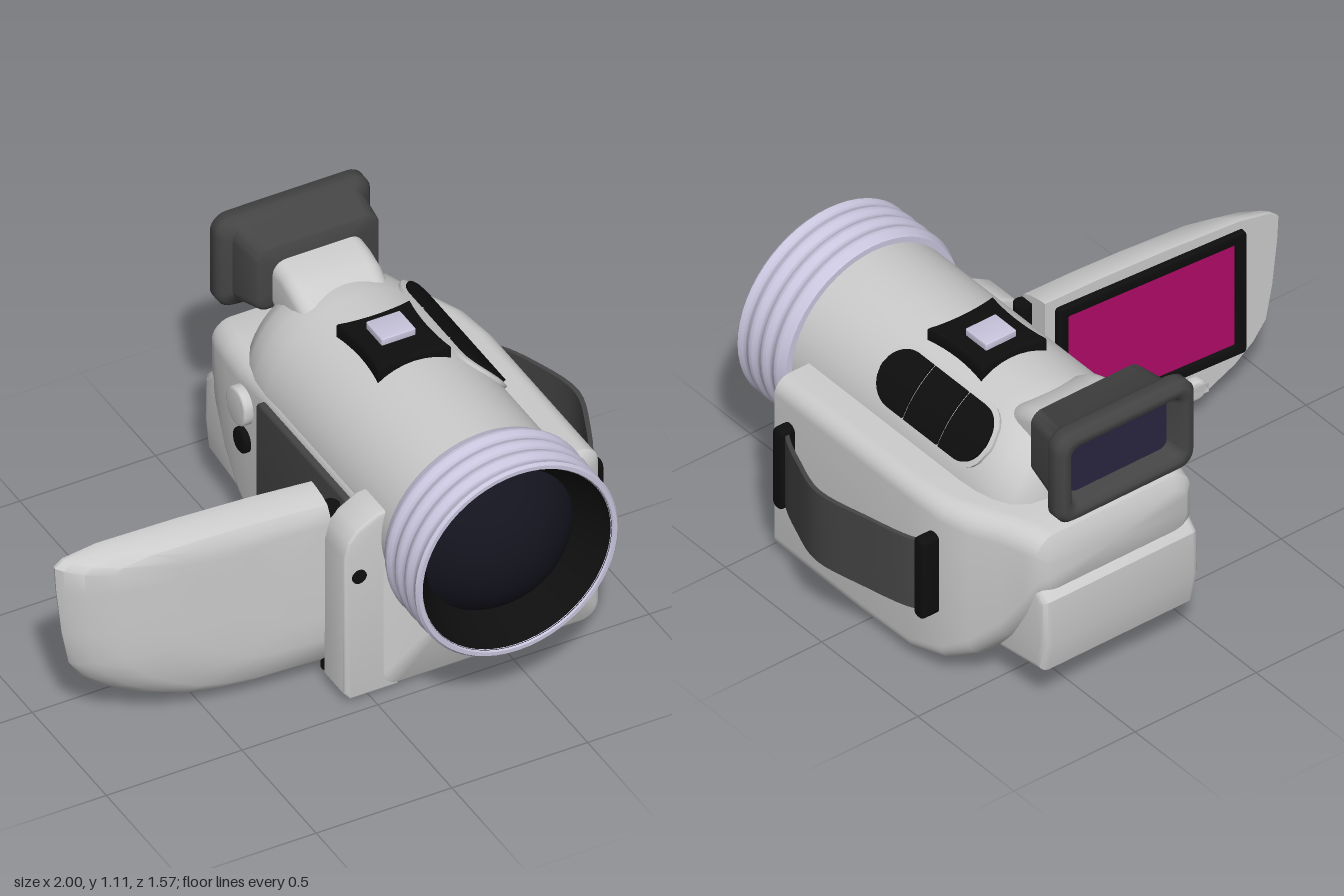
import * as THREE from 'three';
import { toCreasedNormals } from 'three/addons/utils/BufferGeometryUtils.js';

const GREY = 0xcccccc, LILAC = 0xc8c4dc, BLACK = 0x0e0e0e, DARK = 0x444444, GLASS = 0x14141f;
const CX = 0.37, CY = 0.64, R = 0.335; // lens barrel axis and radius

function mesh(parent, name, geo, color, x = 0, y = 0, z = 0) {
  const m = new THREE.Mesh(geo, new THREE.MeshStandardMaterial({ color, side: THREE.DoubleSide }));
  m.name = name;
  m.position.set(x, y, z);
  parent.add(m);
  return m;
}

// Counter-clockwise outline of a rounded rectangle
function roundRect(x0, x1, y0, y1, r, n = 6) {
  const pts = [];
  const corners = [[x1 - r, y1 - r], [x0 + r, y1 - r], [x0 + r, y0 + r], [x1 - r, y0 + r]];
  corners.forEach(([x, y], k) => {
    for (let i = 0; i <= n; i++) {
      const a = (k + i / n) * Math.PI / 2;
      pts.push(new THREE.Vector2(x + r * Math.cos(a), y + r * Math.sin(a)));
    }
  });
  return pts;
}

// Skin over rings of points listed from front to back, closed at both ends
function loft(rings, crease = 0.7) {
  const n = rings[0].length, pos = [], idx = [];
  rings.forEach(r => r.forEach(p => pos.push(p.x, p.y, p.z)));
  for (let i = 0; i < rings.length - 1; i++) {
    for (let j = 0; j < n; j++) {
      const a = i * n + j, b = i * n + (j + 1) % n;
      idx.push(a, a + n, b, b, a + n, b + n);
    }
  }
  [0, rings.length - 1].forEach((k, end) => {
    const c = rings[k].reduce((s, p) => s.add(p), new THREE.Vector3()).divideScalar(n);
    const ci = pos.length / 3;
    pos.push(c.x, c.y, c.z);
    for (let j = 0; j < n; j++) {
      const a = k * n + j, b = k * n + (j + 1) % n;
      if (end) idx.push(ci, b, a); else idx.push(ci, a, b);
    }
  });
  const g = new THREE.BufferGeometry();
  g.setAttribute('position', new THREE.Float32BufferAttribute(pos, 3));
  g.setIndex(idx);
  return toCreasedNormals(g, crease);
}

// Loft through rounded rectangles [z, x0, x1, y0, y1, radius]
const boxLoft = (sections, crease) => loft(sections.map(([z, x0, x1, y0, y1, r]) =>
  roundRect(x0, x1, y0, y1, r).map(p => new THREE.Vector3(p.x, p.y, z))), crease);

function extrude(points, depth, bevel = 0, holes = []) {
  const s = new THREE.Shape(points);
  holes.forEach(h => s.holes.push(new THREE.Path(h)));
  const g = new THREE.ExtrudeGeometry(s, {
    depth, curveSegments: 8, bevelEnabled: bevel > 0, bevelSize: bevel,
    bevelThickness: bevel, bevelOffset: -bevel, bevelSegments: 3,
  });
  return toCreasedNormals(g, 0.6);
}

// Turned part about the z axis, profile given as [radius, z]
function turned(profile, crease = 0.5) {
  const g = new THREE.LatheGeometry(profile.map(p => new THREE.Vector2(...p)), 56);
  return toCreasedNormals(g.rotateX(Math.PI / 2), crease);
}

// Round-ended pad wrapped on the barrel; w is the half width of the whole pill
function bentPad(z0, z1, w, pill0, pill1, depth) {
  const g = new THREE.BoxGeometry(1, 1, 1, 28, 10, 1), p = g.attributes.position;
  for (let i = 0; i < p.count; i++) {
    const z = THREE.MathUtils.lerp(z0, z1, p.getX(i) + 0.5);
    const e = Math.max(0, 1 - Math.min(pill0 - z, z - pill1) / w);
    const half = w * Math.max(0.06, Math.sqrt(Math.max(0, 1 - e * e)));
    const a = 0.72 + 2 * p.getY(i) * half / R, r = R + depth * (p.getZ(i) + 0.5);
    p.setXYZ(i, CX + r * Math.cos(a), CY + r * Math.sin(a), z);
  }
  return toCreasedNormals(g, 0.6);
}

export function createModel() {
  const g = new THREE.Group();
  g.name = 'camcorder';

  // Main housing, its underside sweeping up to the rear
  mesh(g, 'body', boxLoft([
    [0.465, 0.05, 0.82, 0.04, 0.70, 0.05], [0.45, 0.03, 0.838, 0.022, 0.72, 0.06],
    [0, 0.03, 0.838, 0.02, 0.72, 0.06], [-0.25, 0.03, 0.838, 0.03, 0.72, 0.06],
    [-0.4, 0.03, 0.825, 0.07, 0.72, 0.07], [-0.5, 0.03, 0.79, 0.13, 0.72, 0.08],
    [-0.6, 0.035, 0.74, 0.24, 0.72, 0.08], [-0.68, 0.045, 0.71, 0.36, 0.715, 0.08],
    [-0.73, 0.06, 0.69, 0.46, 0.705, 0.07], [-0.75, 0.09, 0.66, 0.5, 0.66, 0.05],
  ]), GREY);
  const pack = [[0.4, 0.13], [0.75, 0.18], [0.775, 0.3], [0.77, 0.47], [0.72, 0.52], [0.64, 0.56], [0.4, 0.56]];
  mesh(g, 'battery', extrude(pack.map(p => new THREE.Vector2(...p)), 0.58, 0.03).rotateY(Math.PI / 2), GREY, 0.08);

  // Barrel with rounded rear
  mesh(g, 'barrel', turned([[0, -0.595], [0.15, -0.59], [0.235, -0.575], [0.285, -0.54], [0.315, -0.48],
    [0.33, -0.41], [R, -0.33], [R, 0.54]], 0.8), GREY, CX, CY);

  // Ribbed lens ring, hood and glass
  const ring = [[0.3, 0.525], [0.36, 0.527], [0.367, 0.54]];
  for (let i = 0; i <= 36; i++) ring.push([0.37 + 0.006 * Math.sin(i / 36 * Math.PI * 6), 0.55 + i * 0.0055]);
  ring.push([0.374, 0.76], [0.366, 0.77], [0.352, 0.77], [0.346, 0.76]);
  mesh(g, 'lensRing', turned(ring, 0.7), LILAC, CX, CY - 0.005);
  mesh(g, 'lensHood', turned([[0.348, 0.764], [0.335, 0.73], [0.27, 0.64]]), BLACK, CX, CY - 0.005);
  const dome = [];
  for (let i = 0; i <= 12; i++) {
    const r = 0.275 * (1 - i / 12);
    dome.push([r, 0.455 + Math.sqrt(0.33 * 0.33 - r * r)]);
  }
  mesh(g, 'lensGlass', turned(dome, 1), GLASS, CX, CY - 0.005);

  // Top accessory plate with button
  const plate = new THREE.Shape().moveTo(-0.135, -0.14).quadraticCurveTo(0, -0.115, 0.135, -0.14)
    .quadraticCurveTo(0.11, 0, 0.135, 0.14).quadraticCurveTo(0, 0.115, -0.135, 0.14)
    .quadraticCurveTo(-0.11, 0, -0.135, -0.14);
  mesh(g, 'topPlate', extrude(plate.getPoints(8).slice(0, -1), 0.05, 0.012).rotateX(-Math.PI / 2), BLACK, 0.365, 0.937, -0.06);
  mesh(g, 'topButton', extrude(roundRect(-0.063, 0.063, -0.055, 0.055, 0.006), 0.03, 0.004).rotateX(-Math.PI / 2),
    LILAC, 0.365, 0.99, -0.08);

  // Pill-shaped control cluster on the shoulder
  mesh(g, 'controlBezel', bentPad(0.165, -0.415, 0.118, 0.165, -0.415, 0.012), GREY);
  [[0.145, -0.027], [-0.037, -0.207], [-0.217, -0.395]].forEach(([a, b]) =>
    mesh(g, 'controlKey', bentPad(a, b, 0.098, 0.145, -0.395, 0.022), BLACK));

  // Viewfinder
  mesh(g, 'viewfinderStem', boxLoft([
    [-0.33, 0.22, 0.5, 0.8, 0.92, 0.05], [-0.37, 0.2, 0.52, 0.8, 0.95, 0.05], [-0.43, 0.19, 0.525, 0.8, 0.99, 0.05],
    [-0.5, 0.19, 0.525, 0.8, 1.012, 0.05], [-0.6, 0.19, 0.525, 0.83, 1.02, 0.05]], 0.9), GREY);
  mesh(g, 'eyecup', boxLoft([
    [-0.558, 0.14, 0.57, 0.845, 1.07, 0.04], [-0.565, 0.13, 0.585, 0.83, 1.08, 0.045],
    [-0.69, 0.115, 0.6, 0.79, 1.09, 0.05], [-0.705, 0.085, 0.625, 0.77, 1.105, 0.06],
    [-0.72, 0.072, 0.637, 0.76, 1.113, 0.06], [-0.765, 0.072, 0.637, 0.76, 1.113, 0.06],
    [-0.785, 0.09, 0.62, 0.778, 1.095, 0.05], [-0.785, 0.115, 0.595, 0.803, 1.07, 0.04],
    [-0.77, 0.13, 0.58, 0.815, 1.058, 0.035], [-0.71, 0.15, 0.56, 0.835, 1.038, 0.03]], 0.9), DARK);
  mesh(g, 'eyepieceGlass', extrude(roundRect(0.155, 0.555, 0.84, 1.033, 0.03), 0.01), 0x2a2540, 0, 0, -0.73);

  // Hand strap and its two anchors
  const path = new THREE.CatmullRomCurve3([[0.835, 0.375], [0.87, 0.33], [0.93, 0.2], [0.982, 0.03],
    [0.94, -0.17], [0.88, -0.33], [0.835, -0.375]].map(([x, z]) => new THREE.Vector3(x, z, 0))).getPoints(28);
  const band = [...path, ...path.map(p => new THREE.Vector3(p.x + 0.017, p.y, 0)).reverse()];
  const strap = extrude(band.map(p => new THREE.Vector2(p.x, p.y)), 0.28).rotateX(Math.PI / 2);
  const sp = strap.attributes.position;
  for (let i = 0; i < sp.count; i++) sp.setY(i, sp.getY(i) + 0.57 + 0.025 * (1 - (sp.getZ(i) / 0.37) ** 2));
  strap.computeVertexNormals();
  mesh(g, 'handStrap', toCreasedNormals(strap, 0.5), DARK);
  [-0.365, 0.37].forEach(z => mesh(g, 'strapAnchor',
    extrude(roundRect(-0.027, 0.027, -0.163, 0.163, 0.025), 0.055, 0.012).rotateY(Math.PI / 2), BLACK, 0.825, 0.43, z));

  // Front lamp, microphone and tripod socket
  mesh(g, 'lampRim', turned([[0.088, 0.45], [0.088, 0.475], [0.08, 0.482], [0.06, 0.482], [0.055, 0.472]]), BLACK, 0.65, 0.165);
  mesh(g, 'lampGlass', turned([[0.058, 0.47], [0.04, 0.476], [0, 0.479]], 1), GLASS, 0.65, 0.165);
  mesh(g, 'microphone', turned([[0.026, 0.45], [0.026, 0.465], [0, 0.47]]), BLACK, -0.047, 0.515);
  const socket = turned([[0.14, -0.03], [0.138, -0.006], [0.125, 0], [0.1, 0], [0.085, -0.014], [0.05, -0.014], [0.042, -0.004], [0, -0.004]], 0.9);
  mesh(g, 'tripodSocket', socket.rotateX(Math.PI / 2), LILAC, CX, 0, 0);

  // Fittings on the left side of the body
  const side = pts => extrude(pts, 0.03, 0.008).rotateY(-Math.PI / 2);
  mesh(g, 'sidePanel', side(roundRect(-0.34, 0.28, 0.12, 0.67, 0.03)), DARK, 0.046);
  mesh(g, 'sideButton', side(roundRect(-0.52, -0.395, 0.5, 0.64, 0.06)), GREY, 0.035);
  mesh(g, 'sideKey', side(roundRect(-0.495, -0.41, 0.385, 0.475, 0.04)), BLACK, 0.045);

  // Hinge post
  const post = [[-0.08, 0.022], [0.1, 0.022], [0.1, 0.75], [0.02, 0.74], [-0.05, 0.7], [-0.085, 0.66], [-0.1, 0.6], [-0.1, 0.05]];
  mesh(g, 'hingePost', extrude(post.map(p => new THREE.Vector2(...p)), 0.125, 0.01), GREY, 0, 0, 0.325);
  mesh(g, 'hingePin', new THREE.CylinderGeometry(0.032, 0.032, 0.66, 20), BLACK, -0.06, 0.37, 0.29);

  // Swing-out display shell, thinning toward its outer and lower edge
  const edge = [[-0.08, 0.03], [-0.08, 0.74], [-0.3, 0.747], [-0.55, 0.747], [-0.85, 0.738], [-0.97, 0.715], [-1, 0.69],
    [-0.995, 0.6], [-0.975, 0.42], [-0.95, 0.29], [-0.9, 0.22], [-0.83, 0.16], [-0.73, 0.105], [-0.62, 0.06], [-0.5, 0.038], [-0.37, 0.028]];
  const shell = [[0.3, 0.13], [0.57, 0.127], [0.82, 0.108], [0.92, 0.075], [0.98, 0.035], [1, 0.012], [0.997, 0]];
  mesh(g, 'displayShell', loft(shell.map(([s, d]) => edge.map(([x, y]) => {
    const px = -0.08 + (x + 0.08) * s, py = 0.55 + (y - 0.55) * (0.3 + 0.7 * s);
    return new THREE.Vector3(px, py, 0.14 + 0.06 * (px + 1) / 0.94 + d);
  })), 0.6), GREY);

  // Display face: local x runs outward from the hinge
  const face = new THREE.Group();
  face.name = 'displayFace';
  face.position.set(-0.06, 0, 0.2);
  face.rotation.y = Math.PI - 0.064;
  g.add(face);
  mesh(face, 'displayFrame', extrude(roundRect(0.06, 0.8, 0.21, 0.705, 0.012), 0.024, 0.005,
    [roundRect(0.1, 0.76, 0.25, 0.665, 0.005).reverse()]), BLACK, 0, 0, -0.008);
  mesh(face, 'displayScreen', new THREE.BoxGeometry(0.67, 0.425, 0.016), 0xb00a68, 0.43, 0.4575, 0);
  for (let i = 0; i < 4; i++) {
    const x = 0.08 + i * 0.143;
    mesh(face, 'displayButton', extrude(roundRect(x, x + 0.135, 0.075 + i * 0.008, 0.18, 0.042), 0.028, 0.012), GREY, 0, 0, -0.012);
  }
  return g;
}
